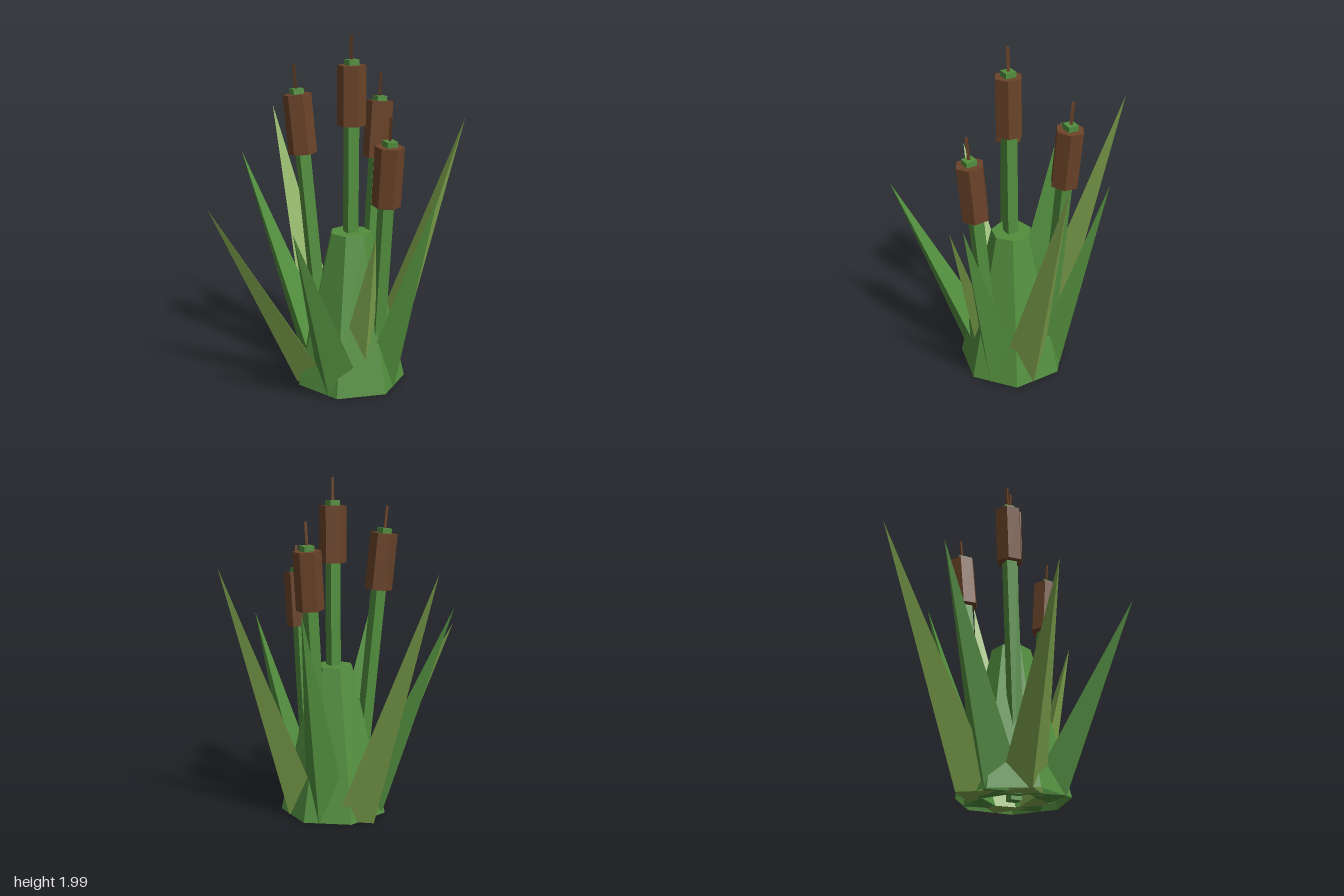
import * as THREE from 'three';

const green = new THREE.MeshStandardMaterial({ color: 0x528e3e, side: THREE.DoubleSide });
green.name = 'reed green';
const olive = new THREE.MeshStandardMaterial({ color: 0x80a64e });
olive.name = 'olive green';
const brown = new THREE.MeshStandardMaterial({ color: 0x6b4329 });
brown.name = 'seed brown';

const CENTRE = new THREE.Vector3(0.05, 0, 0.18);

// Separate faces so every facet is shaded flat
function facetedMesh(name, geometry, material) {
  const flat = geometry.index ? geometry.toNonIndexed() : geometry;
  flat.computeVertexNormals();
  const mesh = new THREE.Mesh(flat, material);
  mesh.name = name;
  return mesh;
}

// Three-sided blade: flat inner face, ridge outward, leaning to its tip
function makeLeaf(tip, innerRadius, width, depth, material) {
  const top = new THREE.Vector3(...tip);
  const out = new THREE.Vector3(top.x - CENTRE.x, 0, top.z - CENTRE.z).normalize();
  const side = new THREE.Vector3(out.z, 0, -out.x);
  const foot = (r, s) => CENTRE.clone().addScaledVector(out, r).addScaledVector(side, s).setY(0.01);
  const a = foot(innerRadius, width / 2);
  const b = foot(innerRadius, -width / 2);
  const ridge = foot(innerRadius + depth, 0);
  const corners = [ridge, a, top, b, ridge, top, a, b, top, a, ridge, b];
  const geometry = new THREE.BufferGeometry().setFromPoints(corners);
  return facetedMesh('leaf', geometry, material);
}

// Leaning stalk; (x, y, z) is the top of the cap, lean is sideways travel per unit of height
function makeReed([x, y, z], [leanX, leanZ]) {
  const reed = new THREE.Group();
  reed.name = 'reed';
  const axis = new THREE.Vector3(leanX, 1, leanZ);
  const length = y * axis.length();
  reed.position.set(x - leanX * y, 0, z - leanZ * y);
  reed.quaternion.setFromUnitVectors(new THREE.Vector3(0, 1, 0), axis.normalize());

  const add = (name, geometry, material, bottom, height) => {
    const mesh = facetedMesh(name, geometry, material);
    mesh.position.y = bottom + height / 2;
    reed.add(mesh);
  };
  const stalkHeight = length - 0.36;
  add('stalk', new THREE.BoxGeometry(0.065, stalkHeight, 0.065), green, 0.01, stalkHeight);
  add('seedHead', new THREE.CylinderGeometry(0.08, 0.08, 0.33, 6), brown, length - 0.36, 0.33);
  add('cap', new THREE.BoxGeometry(0.062, 0.035, 0.062), green, length - 0.035, 0.035);
  add('spike', new THREE.CylinderGeometry(0.01, 0.01, 0.13, 3), brown, length, 0.13);
  return reed;
}

export function createModel() {
  const model = new THREE.Group();
  model.name = 'reedClump';

  // Seven-sided tapering mound, open underneath, with a flat top
  const mound = facetedMesh('mound', new THREE.CylinderGeometry(0.117, 0.325, 0.89, 7, 1, true), green);
  mound.rotation.y = -Math.PI / 2;
  mound.position.set(CENTRE.x, 0.455, CENTRE.z);
  const moundTop = facetedMesh('moundTop', new THREE.CircleGeometry(0.117, 7), green);
  moundTop.rotation.set(-Math.PI / 2, 0, Math.PI);
  moundTop.position.set(CENTRE.x, 0.9, CENTRE.z);
  model.add(mound, moundTop);

  // Leaves: tip, inner radius, width, depth, colour
  const leaves = [
    [[-0.07, 1.51, -0.685], 0.2, 0.3, 0.17, olive],
    [[0.75, 1.51, 0.25], 0.13, 0.29, 0.17, olive],
    [[-0.755, 1.1, 0.065], 0.15, 0.27, 0.17, olive],
    [[0.015, 0.975, 0.555], 0.08, 0.27, 0.14, olive],
    [[-0.375, 1.29, -0.43], 0.14, 0.29, 0.17, green],
    [[0.47, 1.285, -0.195], 0.13, 0.27, 0.17, green],
    [[-0.51, 1.09, 0.675], 0.14, 0.28, 0.17, green],
    [[0.345, 1.185, 0.63], 0.13, 0.26, 0.17, green],
  ];
  for (const leaf of leaves) model.add(makeLeaf(...leaf));

  // Reeds: top of cap, lean
  const reeds = [
    [[0.05, 1.87, 0.185], [0, 0]],
    [[-0.214, 1.71, 0.036], [-0.076, -0.062]],
    [[0.338, 1.63, -0.022], [0.08, -0.045]],
    [[0.134, 1.467, 0.475], [0.008, 0.08]],
  ];
  for (const reed of reeds) model.add(makeReed(...reed));

  return model;
}
